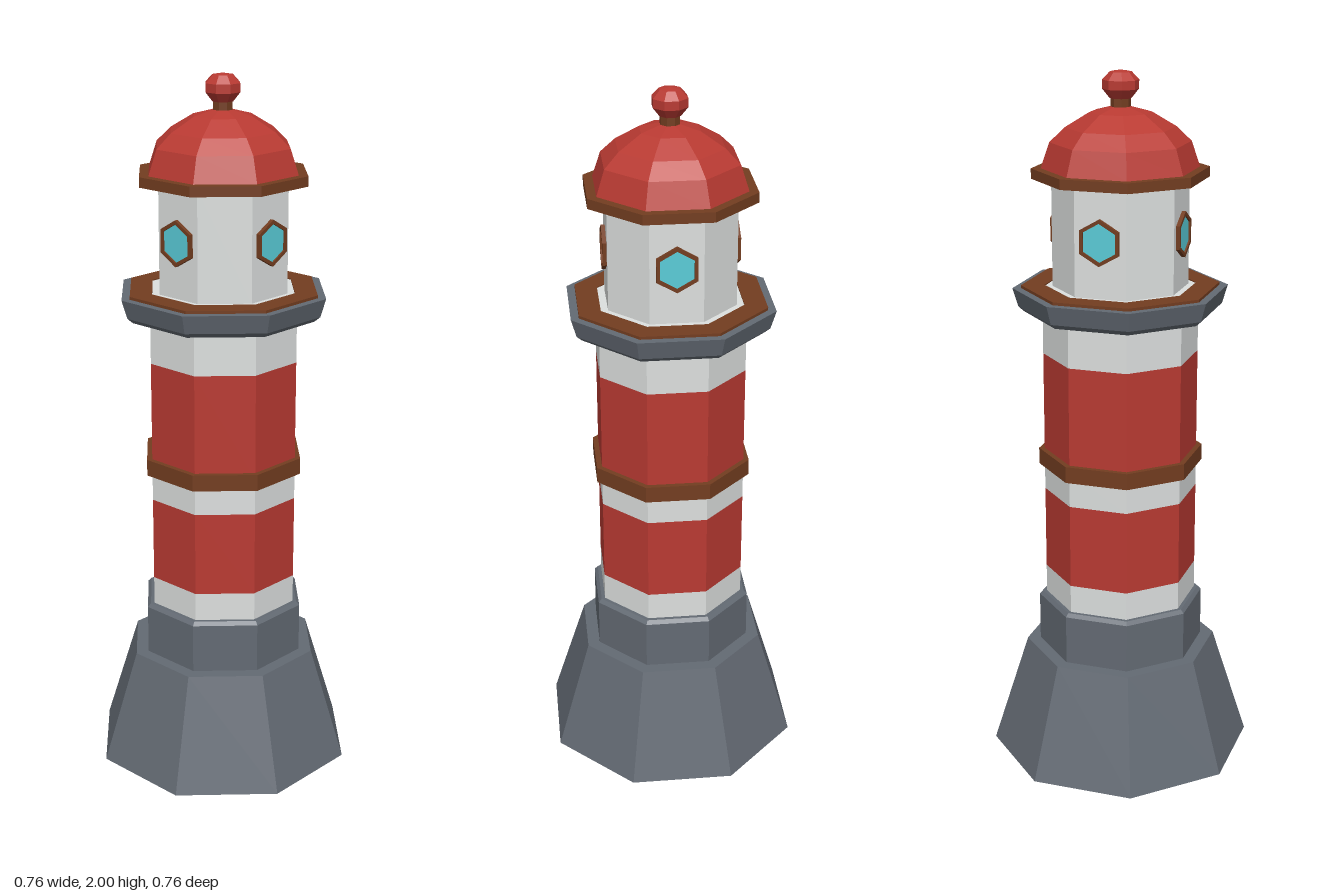
import * as THREE from 'three';

const mat = (name, color) => {
  const m = new THREE.MeshStandardMaterial({ color });
  m.name = name;
  return m;
};

export function createModel() {
  const model = new THREE.Group();
  model.name = 'lighthouse';
  const stone = mat('grey stone', 0x636a73);
  const white = mat('white plaster', 0xdcdfde);
  const red = mat('red paint', 0xb93a32);
  const wood = mat('brown wood', 0x733d20);
  const glass = mat('teal glass', 0x5accd8);

  // Eight-sided faceted part from a profile of [radius, y], bottom to top
  const octagon = (name, material, profile) => {
    const points = profile.map(([r, y]) => new THREE.Vector2(r, y));
    const geometry = new THREE.LatheGeometry(points, 8).toNonIndexed();
    geometry.computeVertexNormals();
    const mesh = new THREE.Mesh(geometry, material);
    mesh.name = name;
    model.add(mesh);
  };
  // Closed straight drum
  const drum = (name, material, r, y0, y1) =>
    octagon(name, material, [[0, y0], [r, y0], [r, y1], [0, y1]]);

  // Stone foot and plinth
  octagon('foot', stone, [[0, 0], [0.382, 0], [0.278, 0.33], [0, 0.33]]);
  octagon('plinth', stone, [[0.24, 0.33], [0.24, 0.473], [0.23, 0.483], [0, 0.483]]);

  // Striped tower
  const bands = [[0.483, white], [0.565, red], [0.808, white], [0.91, red], [1.215, white], [1.345, null]];
  for (let i = 0; i < bands.length - 1; i++) {
    const [y, material] = bands[i];
    octagon('towerBand' + (i + 1), material, [[0.219, y], [0.219, bands[i + 1][0]]]);
  }
  drum('towerRing', wood, 0.235, 0.885, 0.932);

  // Gallery with a wooden floor
  octagon('gallery', stone, [[0.2, 1.335], [0.27, 1.338], [0.286, 1.352], [0.302, 1.405], [0.278, 1.405], [0, 1.405]]);
  octagon('galleryFloor', wood, [[0.278, 1.403], [0.278, 1.413], [0.212, 1.413], [0.212, 1.403]]);
  octagon('lanternFoot', white, [[0.212, 1.403], [0.212, 1.41], [0.18, 1.41]]);

  // Lantern room
  octagon('lanternRoom', white, [[0.19, 1.405], [0.19, 1.72]]);

  // Hexagonal windows on every second wall
  const hexagon = (r, Type) => {
    const shape = new Type();
    shape.setFromPoints(Array.from({ length: 6 }, (_, i) => {
      const a = Math.PI / 6 + i * Math.PI / 3;
      return new THREE.Vector2(r * Math.cos(a), r * Math.sin(a));
    }));
    shape.closePath();
    return shape;
  };
  const frameShape = hexagon(0.064, THREE.Shape);
  frameShape.holes.push(hexagon(0.053, THREE.Path));
  const frameGeometry = new THREE.ExtrudeGeometry(frameShape, { depth: 0.012, bevelEnabled: false });
  const paneGeometry = new THREE.ExtrudeGeometry(hexagon(0.054, THREE.Shape), { depth: 0.007, bevelEnabled: false });
  for (let i = 0; i < 4; i++) {
    const angle = Math.PI / 8 + i * Math.PI / 2;
    const apothem = 0.19 * Math.cos(Math.PI / 8) - 0.001;
    const window = new THREE.Group();
    window.name = 'window' + (i + 1);
    const frame = new THREE.Mesh(frameGeometry, wood);
    frame.name = 'windowFrame';
    const pane = new THREE.Mesh(paneGeometry, glass);
    pane.name = 'windowPane';
    window.add(frame, pane);
    window.position.set(apothem * Math.sin(angle), 1.565, apothem * Math.cos(angle));
    window.rotation.y = angle;
    model.add(window);
  }

  // Roof, eaves and finial
  drum('eaves', wood, 0.245, 1.71, 1.738);
  octagon('roofDome', red, [[0.218, 1.738], [0.194, 1.808], [0.152, 1.848], [0.085, 1.888], [0, 1.91]]);
  octagon('finialStem', wood, [[0.028, 1.89], [0.028, 1.935]]);
  octagon('finialBall', red, [[0, 1.922], [0.03, 1.925], [0.05, 1.95], [0.05, 1.974], [0.03, 1.995], [0, 2]]);

  return model;
}
